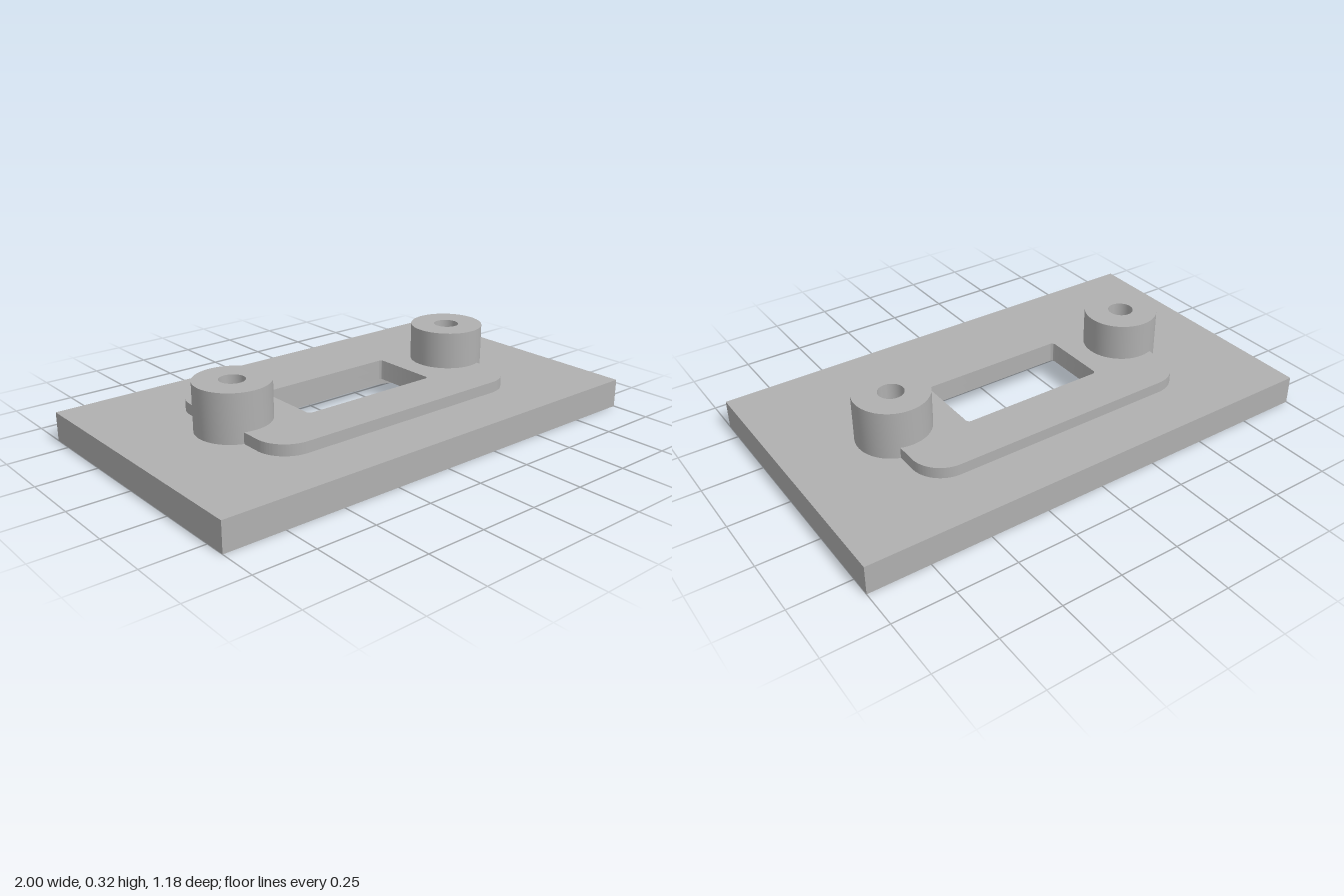
import * as THREE from 'three';
import { toCreasedNormals } from 'three/addons/utils/BufferGeometryUtils.js';

const BOSS_X = 0.557, BOSS_R = 0.152;

// Rounded rectangle with half sizes w, h; notch > 0 cuts an arc out of each short end
function roundedRect(path, w, h, r, notch = 0) {
  const q = Math.PI / 2;
  const a = notch ? Math.acos((w - BOSS_X) / notch) : 0;
  path.moveTo(-w + r, -h);
  path.absarc(w - r, -h + r, r, -q, 0);
  if (notch) path.absarc(BOSS_X, 0, notch, -a, a, true);
  path.absarc(w - r, h - r, r, 0, q);
  path.absarc(-w + r, h - r, r, q, 2 * q);
  if (notch) path.absarc(-BOSS_X, 0, notch, Math.PI - a, Math.PI + a, true);
  path.absarc(-w + r, -h + r, r, 2 * q, 3 * q);
  path.closePath();
  return path;
}

function rectangle(w, h) {
  return new THREE.Shape([
    new THREE.Vector2(-w, -h), new THREE.Vector2(w, -h),
    new THREE.Vector2(w, h), new THREE.Vector2(-w, h),
  ]);
}

export function createModel() {
  const group = new THREE.Group();
  const grey = new THREE.MeshStandardMaterial({ color: 0xb0b0b0 });
  grey.name = 'grey';

  // Extrude a horizontal outline with one hole between two heights
  function layer(name, shape, hole, y0, y1) {
    shape.holes.push(hole);
    const geo = new THREE.ExtrudeGeometry(shape, { depth: y1 - y0, bevelEnabled: false, curveSegments: 24 });
    geo.rotateX(-Math.PI / 2);
    geo.translate(0, y0, 0);
    const mesh = new THREE.Mesh(toCreasedNormals(geo, Math.PI / 6), grey);
    mesh.name = name;
    group.add(mesh);
    return mesh;
  }
  const slot = () => roundedRect(new THREE.Path(), 0.313, 0.147, 0.016);

  // Base plate: the lower layer holds the pocket, the upper layer the slot
  const pocket = roundedRect(new THREE.Path(), 0.515, 0.262, 0.13);
  layer('basePlateLower', rectangle(1, 0.588), pocket, 0, 0.08);
  layer('basePlateUpper', rectangle(1, 0.588), slot(), 0.08, 0.12);

  // Raised pad, cleared around the bosses
  layer('raisedPad', roundedRect(new THREE.Shape(), 0.608, 0.355, 0.13, 0.14), slot(), 0.12, 0.166);

  // Bosses with blind holes that end on the plate
  for (const side of [-1, 1]) {
    const disc = new THREE.Shape().absarc(0, 0, BOSS_R, 0, Math.PI * 2);
    const bore = new THREE.Path().absarc(0, 0, 0.052, 0, Math.PI * 2);
    const boss = layer(side > 0 ? 'leftBoss' : 'rightBoss', disc, bore, 0.12, 0.32);
    boss.position.x = side * BOSS_X;
  }
  return group;
}
